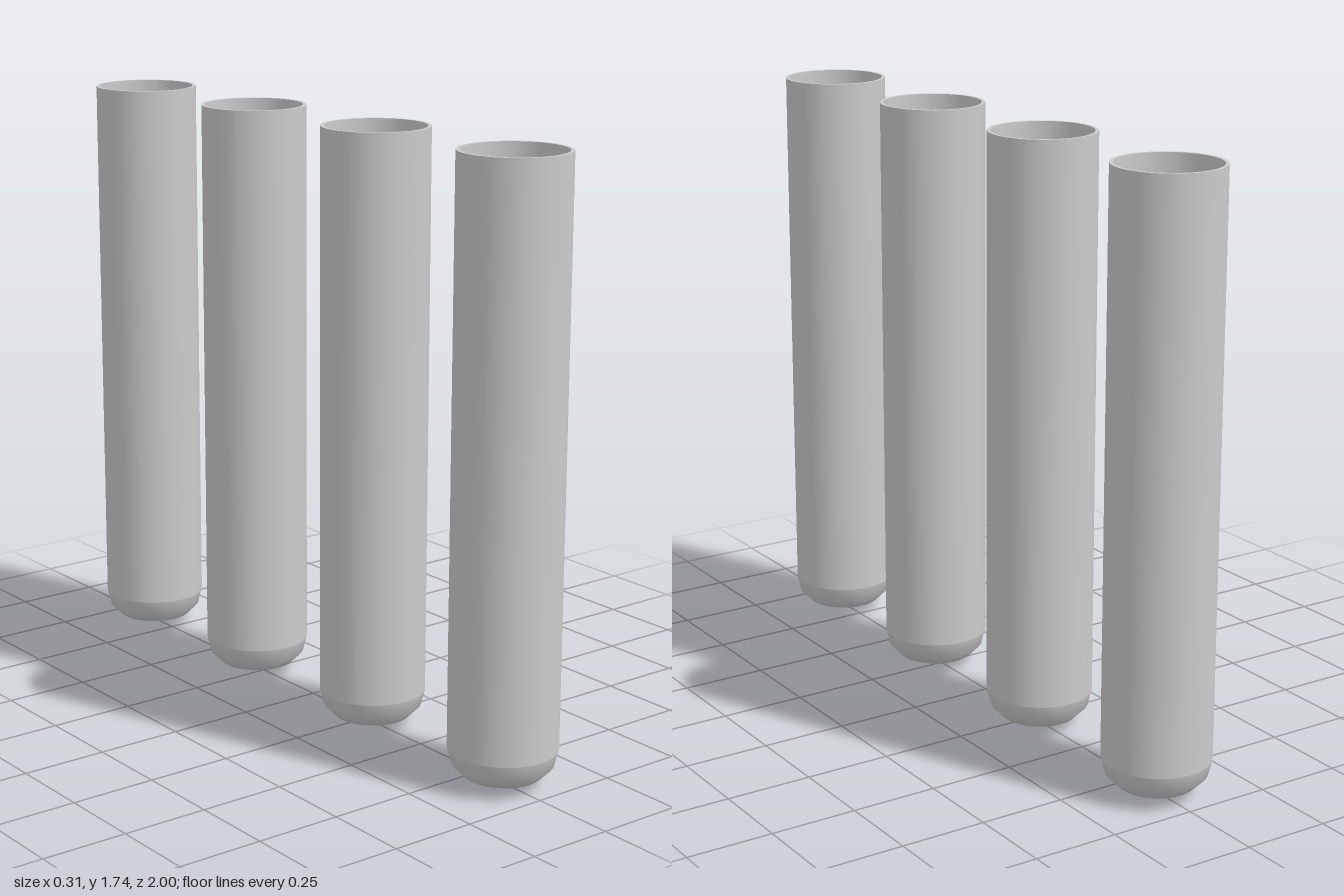
import * as THREE from 'three';

const HEIGHT = 1.74;
const SEGMENTS = 32;

export function createModel() {
  const model = new THREE.Group();
  model.name = 'testTubes';
  const material = new THREE.MeshStandardMaterial({ color: 0xcccccc });
  const lathe = (points) =>
    new THREE.LatheGeometry(points.map(([r, y]) => new THREE.Vector2(r, y)), SEGMENTS);

  // Separate profiles keep the rim and the shoulder edges crisp
  const parts = {
    roundedBottom: lathe([[0, 0], [0.055, 0.014], [0.11, 0.03], [0.142, 0.062], [0.153, 0.107]]),
    outerWall: lathe([[0.153, 0.107], [0.153, HEIGHT]]),
    rim: lathe([[0.153, HEIGHT], [0.143, HEIGHT]]),
    innerWall: lathe([[0.143, HEIGHT], [0.143, 0.11]]),
    innerBottom: lathe([[0.143, 0.11], [0.132, 0.068], [0.104, 0.04], [0.052, 0.024], [0, 0.01]]),
  };

  // Four identical open tubes in a row
  [0.847, 0.282, -0.283, -0.847].forEach((z, i) => {
    const tube = new THREE.Group();
    tube.name = `tube${i + 1}`;
    for (const [name, geometry] of Object.entries(parts)) {
      const mesh = new THREE.Mesh(geometry, material);
      mesh.name = name;
      tube.add(mesh);
    }
    tube.position.z = z;
    model.add(tube);
  });
  return model;
}
